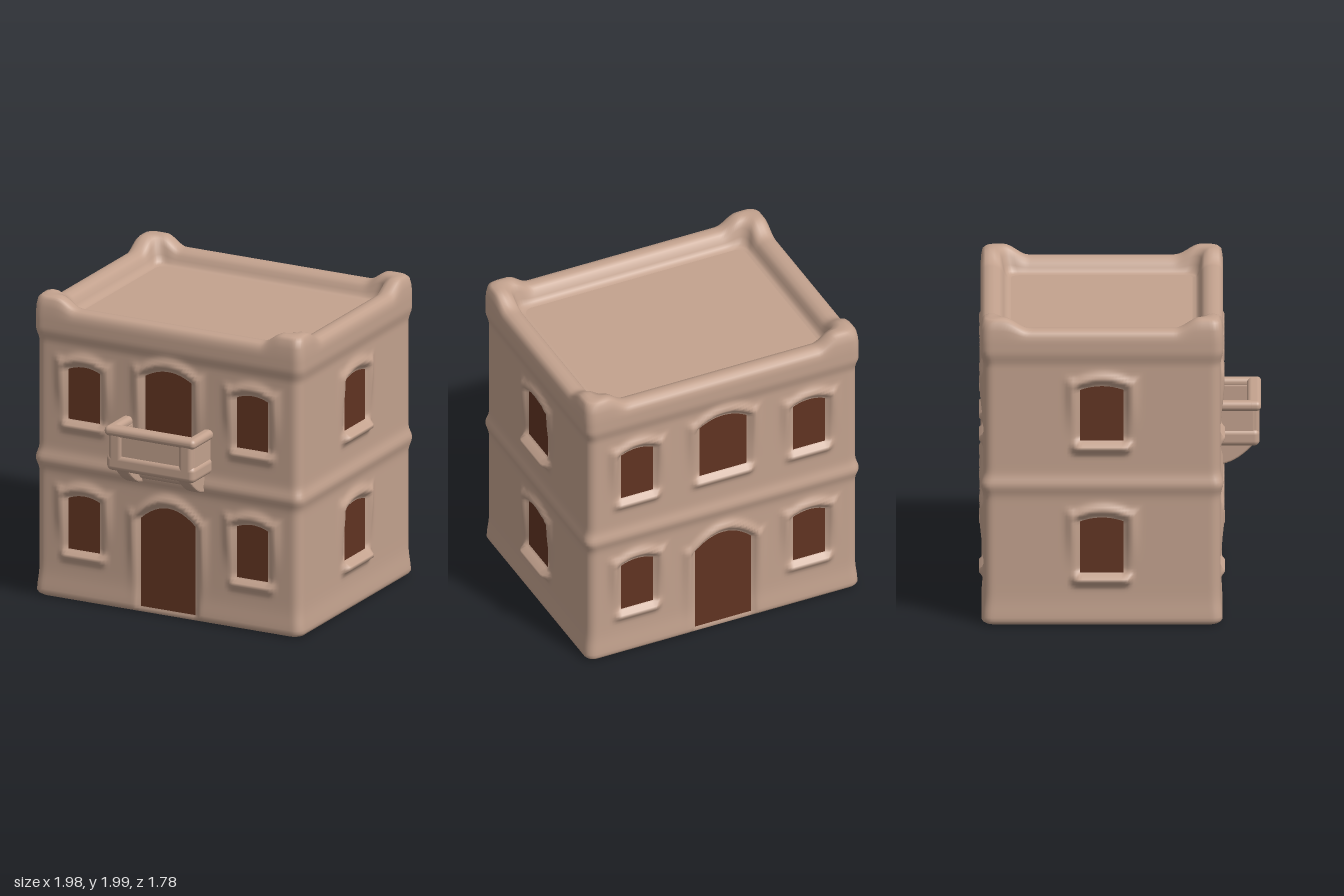
import * as THREE from 'three';
import { RoundedBoxGeometry } from 'three/addons/geometries/RoundedBoxGeometry.js';

const HX = 0.94, HZ = 0.745, CZ = -0.112, R = 0.06;

const clay = new THREE.MeshStandardMaterial({ color: 0xc3a28e });
clay.name = 'clay wall';
const brown = new THREE.MeshStandardMaterial({ color: 0x613422 });
brown.name = 'brown opening';

// Openings per wall: u = centre along the wall, w = half width, b/t = bottom/top, rise = arch height
const pair = (u, w, sill) => [
  { u, w, b: 0.34, t: 0.70, rise: 0.025, sill },
  { u, w, b: 1.20, t: 1.555, rise: 0.025, sill },
];
const door = { u: 0, w: 0.195, b: 0.04, t: 0.715, rise: 0.09, sill: 0 };
const tall = (b, sill) => ({ u: 0, w: 0.165, b, t: 1.62, rise: 0.05, sill });
const walls = {
  front: [...pair(-0.6, 0.112, 0.032), ...pair(0.6, 0.112, 0.032), door, tall(1.08, 0)],
  left: pair(0, 0.137, 0.055),
  back: [...pair(-0.6, 0.112, 0.032), ...pair(0.6, 0.112, 0.032), door, tall(1.2, 0.032)],
  right: pair(0, 0.137, 0.055),
};
const wallNames = Object.keys(walls);

const smooth = THREE.MathUtils.smoothstep;
const bell = (x, c, s) => Math.exp(-(((x - c) / s) ** 2));

// Soft frame, recess and sill around each opening
function relief(list, u, y) {
  let frame = 0, recess = 0, sill = 0;
  for (const o of list) {
    const du = Math.abs(u - o.u);
    const top = o.t - o.rise * Math.min(1.5, (du / o.w) ** 2);
    const s = Math.max(du - o.w, y - top, o.b - y);
    frame = Math.max(frame, 0.027 * bell(s, 0.05, 0.032) * smooth(y, o.b, o.t));
    recess = Math.max(recess, 0.02 * (1 - smooth(s, 0.005, 0.035)));
    sill = Math.max(sill, o.sill * bell(y, o.b - 0.04, 0.032) * (1 - smooth(du, o.w + 0.01, o.w + 0.07)));
  }
  return Math.max(frame, sill) - recess;
}

// One rounded-rectangle loop, running front, left, back, right
function makeLoop() {
  const loop = [];
  for (let k = 0; k < 4; k++) {
    const a = (k - 1) * Math.PI / 2;
    const n = [Math.round(Math.cos(a)), Math.round(-Math.sin(a))];
    const t = [Math.round(Math.cos(a + Math.PI / 2)), Math.round(-Math.sin(a + Math.PI / 2))];
    const count = k % 2 ? 68 : 88;
    for (let i = 0; i <= count; i++) {
      const f = (i / count) * 2 - 1;
      loop.push({ core: [n[0] + t[0] * f, n[1] + t[1] * f], n, t, wall: wallNames[k] });
    }
    for (let j = 1; j < 5; j++) {
      const b = a + (j / 5) * Math.PI / 2;
      loop.push({ core: [n[0] + t[0], n[1] + t[1]], n: [Math.cos(b), -Math.sin(b)] });
    }
  }
  return loop;
}

// Rings of [offset, height]: base edge, wall with mouldings, parapet, roof edge
function makeRings() {
  const rings = [[-0.03, 0], [-0.012, 0.003], [0.004, 0.015]];
  for (let y = 0.03; y < 1.86; y += 0.02) {
    const off = 0.012 * bell(y, 0.03, 0.1) + 0.018 * bell(y, 0.91, 0.05) + 0.018 * smooth(y, 1.68, 1.78);
    rings.push([off, y]);
  }
  return rings.concat([[0.015, 1.875], [0.006, 1.9], [-0.012, 1.915], [-0.04, 1.922], [-0.07, 1.92],
    [-0.1, 1.908], [-0.118, 1.885], [-0.128, 1.86], [-0.14, 1.838], [-0.155, 1.826], [-0.18, 1.822]]);
}

function shellGeometry() {
  const loop = makeLoop(), rings = makeRings(), pos = [], index = [];
  const n = loop.length;
  rings.forEach(([off, y], r) => {
    loop.forEach((p, i) => {
      let x = p.core[0] * (HX + off - R) + p.n[0] * R;
      let z = p.core[1] * (HZ + off - R) + p.n[1] * R;
      // Raised corner knobs on the parapet
      const knob = smooth(Math.abs(x), 0.66, 0.8) * smooth(Math.abs(z), 0.46, 0.62);
      const h = y + 0.07 * knob * smooth(y, 1.83, 1.91);
      if (p.wall && off > -0.005 && y < 1.8) {
        const d = relief(walls[p.wall], x * p.t[0] + z * p.t[1], y);
        x += p.n[0] * d;
        z += p.n[1] * d;
      }
      pos.push(x, h, z + CZ);
      if (r < rings.length - 1) {
        const a = r * n + i, b = r * n + ((i + 1) % n);
        index.push(a, b, b + n, a, b + n, a + n);
      }
    });
  });
  const g = new THREE.BufferGeometry();
  g.setAttribute('position', new THREE.Float32BufferAttribute(pos, 3));
  g.setIndex(index);
  g.computeVertexNormals();
  return g;
}

// Flat pane with an arched top
function paneGeometry(o) {
  const s = new THREE.Shape();
  s.moveTo(-o.w, o.b);
  s.lineTo(o.w, o.b);
  for (let i = 0; i <= 12; i++) {
    const f = 1 - i / 6;
    s.lineTo(o.w * f, o.t - o.rise * f * f);
  }
  return new THREE.ShapeGeometry(s);
}

export function createModel() {
  const model = new THREE.Group();
  model.name = 'house';
  const add = (name, geometry, material, x = 0, y = 0, z = 0, parent = model) => {
    const m = new THREE.Mesh(geometry, material);
    m.name = name;
    m.position.set(x, y, z);
    parent.add(m);
    return m;
  };

  add('walls and parapet', shellGeometry(), clay);

  // Roof floor and underside
  const flat = (name, y, inset, dir) => {
    const g = new THREE.PlaneGeometry(2 * (HX - inset), 2 * (HZ - inset)).rotateX(-dir * Math.PI / 2);
    add(name, g, clay, 0, y, CZ);
  };
  flat('roof floor', 1.823, 0.17, 1);
  flat('underside', 0.001, 0.03, -1);

  // Doors and window panes
  wallNames.forEach((wall, k) => {
    const side = new THREE.Group();
    side.name = wall + ' openings';
    side.position.z = CZ;
    side.rotation.y = k * Math.PI / 2;
    const depth = (k % 2 ? HX : HZ) - 0.007;
    for (const o of walls[wall]) add(o === door ? 'door' : 'window pane', paneGeometry(o), brown, o.u, 0, depth, side);
    model.add(side);
  });

  // Balcony
  const balcony = new THREE.Group();
  balcony.name = 'balcony';
  model.add(balcony);
  const block = (name, w, h, d, x, y, z, r = 0.025) =>
    add(name, new RoundedBoxGeometry(w, h, d, 4, r), clay, x, y, z, balcony);
  block('balcony floor', 0.63, 0.11, 0.27, 0, 1.05, 0.745, 0.035);
  block('balcony front panel', 0.58, 0.24, 0.055, 0, 1.14, 0.838);
  block('balcony front rail', 0.65, 0.065, 0.09, 0, 1.257, 0.845, 0.03);
  for (const s of [-1, 1]) {
    block('balcony side panel', 0.055, 0.24, 0.25, s * 0.277, 1.14, 0.735);
    block('balcony side rail', 0.075, 0.065, 0.26, s * 0.287, 1.257, 0.745, 0.03);
    block('balcony front post', 0.1, 0.24, 0.07, s * 0.25, 1.14, 0.845, 0.03);
  }

  // Curved brackets under the balcony
  const profile = new THREE.Shape();
  profile.moveTo(0.6, 1.03);
  profile.lineTo(0.6, 0.87);
  profile.lineTo(0.65, 0.88);
  profile.quadraticCurveTo(0.74, 0.9, 0.83, 1.0);
  profile.lineTo(0.83, 1.03);
  const bracket = new THREE.ExtrudeGeometry(profile, {
    depth: 0.06, bevelThickness: 0.015, bevelSize: 0.012, bevelSegments: 3, curveSegments: 8,
  });
  bracket.translate(0, 0, -0.03).rotateY(-Math.PI / 2);
  for (const x of [-0.22, 0.22]) add('balcony bracket', bracket, clay, x, 0, 0, balcony);
  block('balcony wall ledge', 0.4, 0.12, 0.1, 0, 0.96, 0.64, 0.04);

  return model;
}
